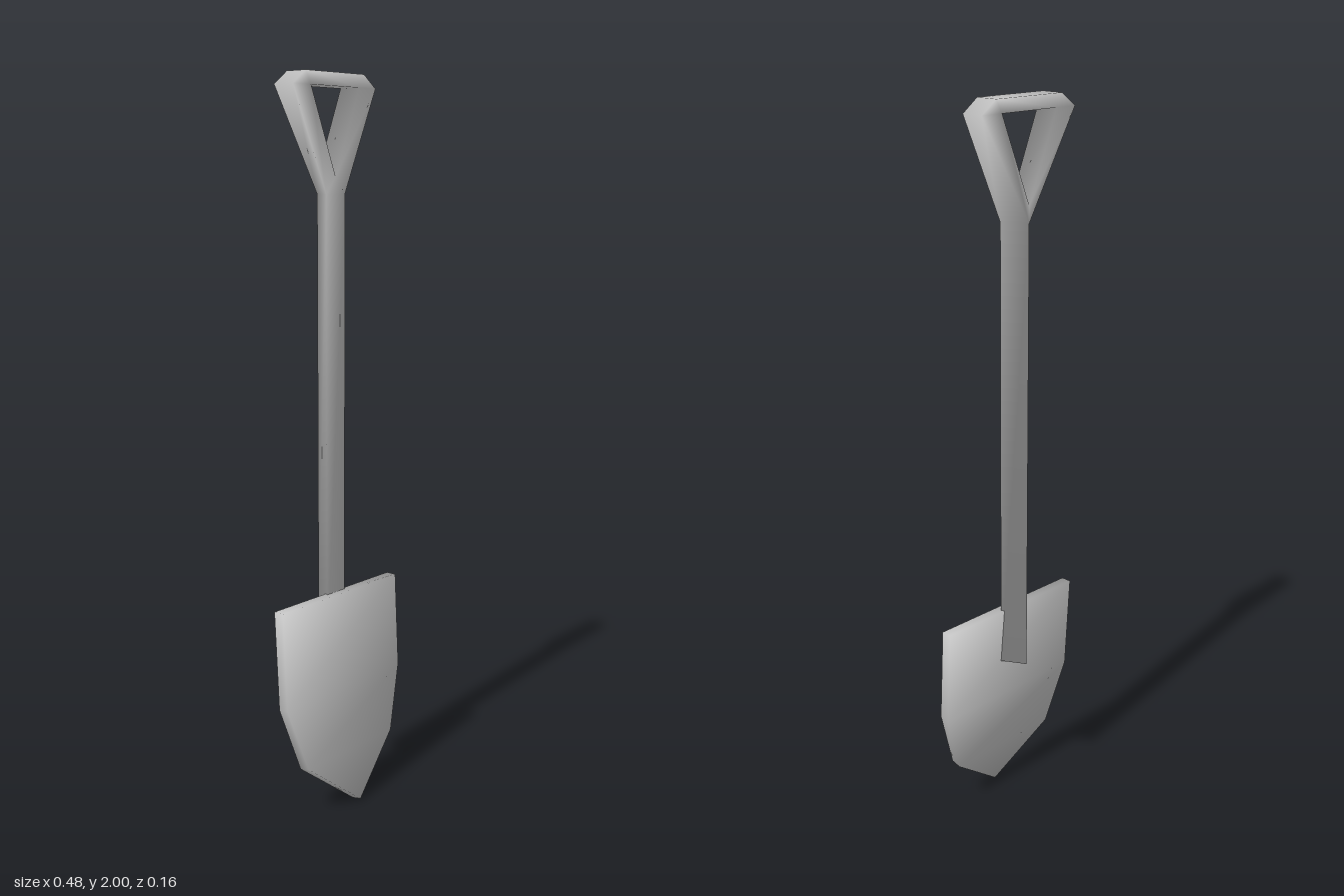
import * as THREE from 'three';
import { mergeGeometries, mergeVertices } from 'three/addons/utils/BufferGeometryUtils.js';

const material = new THREE.MeshStandardMaterial({ color: 0xcccccc });
const FRONT = -0.015, BACK = -0.08; // depth range of shaft and grip
const SHAFT_W = 0.0375, FORK_Y = 1.69;

// Skin a row of equal-sized rings of [x, y, z], plus any extra faces.
function loft(rings, extraFaces) {
  const n = rings[0].length, index = [...extraFaces];
  for (let r = 0; r < rings.length - 1; r++) {
    const a = r * n, b = a + n;
    for (let i = 0; i < n; i++) {
      const j = (i + 1) % n;
      index.push(a + i, a + j, b + j, a + i, b + j, b + i);
    }
  }
  const geo = new THREE.BufferGeometry();
  geo.setAttribute('position', new THREE.Float32BufferAttribute(rings.flat(2), 3));
  geo.setIndex(index);
  return geo;
}

// Weld all corners and give each one a normal averaged by face angle,
// so that small end faces round the shading as much as long sides do.
function weldSmooth(source) {
  const geo = mergeVertices(source);
  const pos = geo.attributes.position, index = geo.index.array;
  const normals = Array.from({ length: pos.count }, () => new THREE.Vector3());
  for (let t = 0; t < index.length; t += 3) {
    const ids = [index[t], index[t + 1], index[t + 2]];
    const p = ids.map((id) => new THREE.Vector3().fromBufferAttribute(pos, id));
    const faceNormal = new THREE.Triangle(...p).getNormal(new THREE.Vector3());
    ids.forEach((id, k) => {
      const u = p[(k + 1) % 3].clone().sub(p[k]);
      const v = p[(k + 2) % 3].clone().sub(p[k]);
      normals[id].addScaledVector(faceNormal, u.angleTo(v));
    });
  }
  const flat = normals.flatMap((v) => v.normalize().toArray());
  geo.setAttribute('normal', new THREE.Float32BufferAttribute(flat, 3));
  return geo;
}

// Flat pointed blade that bends forward towards its tip
function bladeGeometry() {
  // front y, back y, half width, front z, back z
  const rows = [
    [0.6, 0.6, 0.24, 0.006, -0.024],
    [0.33, 0.325, 0.24, 0.02, -0.009],
    [0.147, 0.14, 0.18, 0.041, 0.012],
    [0.006, 0, 0, 0.077, 0.049],
  ];
  const rings = rows.map(([yf, yb, w, zf, zb]) =>
    [[w, yf, zf], [-w, yf, zf], [-w, yb, zb], [w, yb, zb]]);
  const topEdge = [0, 3, 2, 0, 2, 1];
  return loft(rings, topEdge);
}

// Three-sided shaft: flat face in front, one edge along the back
function shaftGeometry() {
  const ring = (y) => [[SHAFT_W, y, FRONT], [0, y, BACK], [-SHAFT_W, y, FRONT]];
  const bottomCap = [0, 2, 1];
  return loft([ring(0.44), ring(FORK_Y)], bottomCap);
}

// Triangular grip: a four-sided band whose two legs grow out of the shaft's top
function gripGeometry() {
  const station = (side, outerX, outerY, innerX, innerY, outerBackX = outerX) => [
    [side * outerX, outerY, FRONT], [side * outerBackX, outerY, BACK],
    [side * innerX, innerY, BACK], [side * innerX, innerY, FRONT],
  ];
  const half = (side) => [
    station(side, SHAFT_W, FORK_Y, 0, 1.735, 0),
    station(side, 0.163, 1.965, 0.095, 1.965),
    station(side, 0.115, 2, 0.095, 1.965),
  ];
  const crotchFace = [3, 20, 0]; // front triangle between the two legs
  return loft([...half(1), ...half(-1).reverse()], crotchFace);
}

export function createModel() {
  const model = new THREE.Group();
  model.name = 'shovel';
  const parts = {
    blade: bladeGeometry(),
    shaftAndGrip: mergeGeometries([shaftGeometry(), gripGeometry()]),
  };
  for (const [name, geometry] of Object.entries(parts)) {
    const mesh = new THREE.Mesh(weldSmooth(geometry), material);
    mesh.name = name;
    model.add(mesh);
  }
  return model;
}
